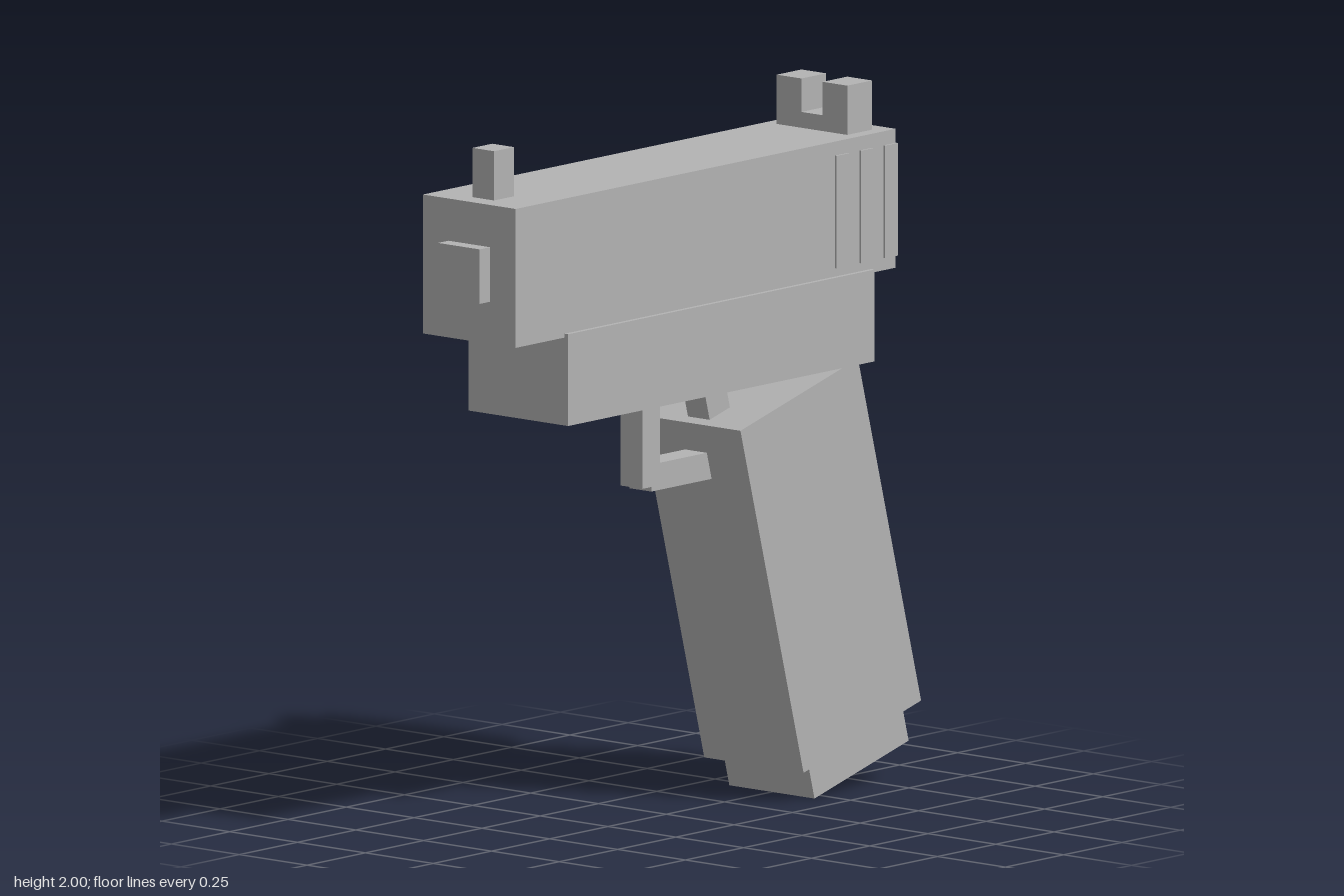
import * as THREE from 'three';

export function createModel() {
  const model = new THREE.Group();
  model.name = 'toyPistol';

  const grey = new THREE.MeshStandardMaterial({ color: 0xb3b3b3 });
  grey.name = 'plain grey';

  // Box given by its extents on each axis
  function box(name, [x0, x1], [y0, y1], [z0, z1], parent = model) {
    const mesh = new THREE.Mesh(new THREE.BoxGeometry(x1 - x0, y1 - y0, z1 - z0), grey);
    mesh.position.set((x0 + x1) / 2, (y0 + y1) / 2, (z0 + z1) / 2);
    mesh.name = name;
    parent.add(mesh);
    return mesh;
  }
  const half = (w) => [-w, w];

  // Slide, muzzle and frame
  box('slide', half(0.171), [1.465, 1.86], [-0.785, 0.845]);
  box('muzzle', half(0.077), [1.585, 1.74], [0.84, 0.89]);
  box('frame', half(0.184), [1.215, 1.476], [-0.68, 0.635]);

  // Thin grip ribs on both sides of the slide
  for (const side of [-1, 1]) {
    for (let i = 0; i < 3; i++) {
      const z = -0.76 + i * 0.104;
      const rib = box('slideRib', [0.165, 0.177], [1.5, 1.82], [z - 0.027, z + 0.027]);
      rib.position.x *= side;
    }
  }

  // Front sight with a small dot facing the rear
  box('frontSight', half(0.04), [1.855, 2], [0.7, 0.785]);
  box('frontSightDot', half(0.021), [1.943, 1.985], [0.691, 0.702]);

  // Notched rear sight, extruded along z
  const notch = new THREE.Shape([
    [-0.13, 1.855], [0.13, 1.855], [0.13, 2], [0.039, 2],
    [0.039, 1.905], [-0.039, 1.905], [-0.039, 2], [-0.13, 2],
  ].map(([x, y]) => new THREE.Vector2(x, y)));
  const rearSight = new THREE.Mesh(
    new THREE.ExtrudeGeometry(notch, { depth: 0.106, bevelEnabled: false }), grey);
  rearSight.position.z = -0.731;
  rearSight.name = 'rearSight';
  model.add(rearSight);

  // Trigger guard and trigger
  box('guardFront', half(0.04), [0.951, 1.22], [0.073, 0.149]);
  box('guardBottom', half(0.04), [0.938, 1.015], [-0.2, 0.111]);
  const trigger = box('trigger', half(0.04), [1.02, 1.24], [-0.225, -0.135]);
  trigger.rotation.x = THREE.MathUtils.degToRad(15);

  // Raked grip with its base plate, measured from the bottom of the grip
  const handle = new THREE.Group();
  handle.name = 'handle';
  handle.position.set(0, 0.155, -0.628);
  handle.rotation.x = THREE.MathUtils.degToRad(15);
  model.add(handle);
  box('grip', half(0.183), [0, 1.046], half(0.261), handle);
  box('magazineBase', half(0.157), [-0.104, 0.02], half(0.209), handle);

  return model;
}
